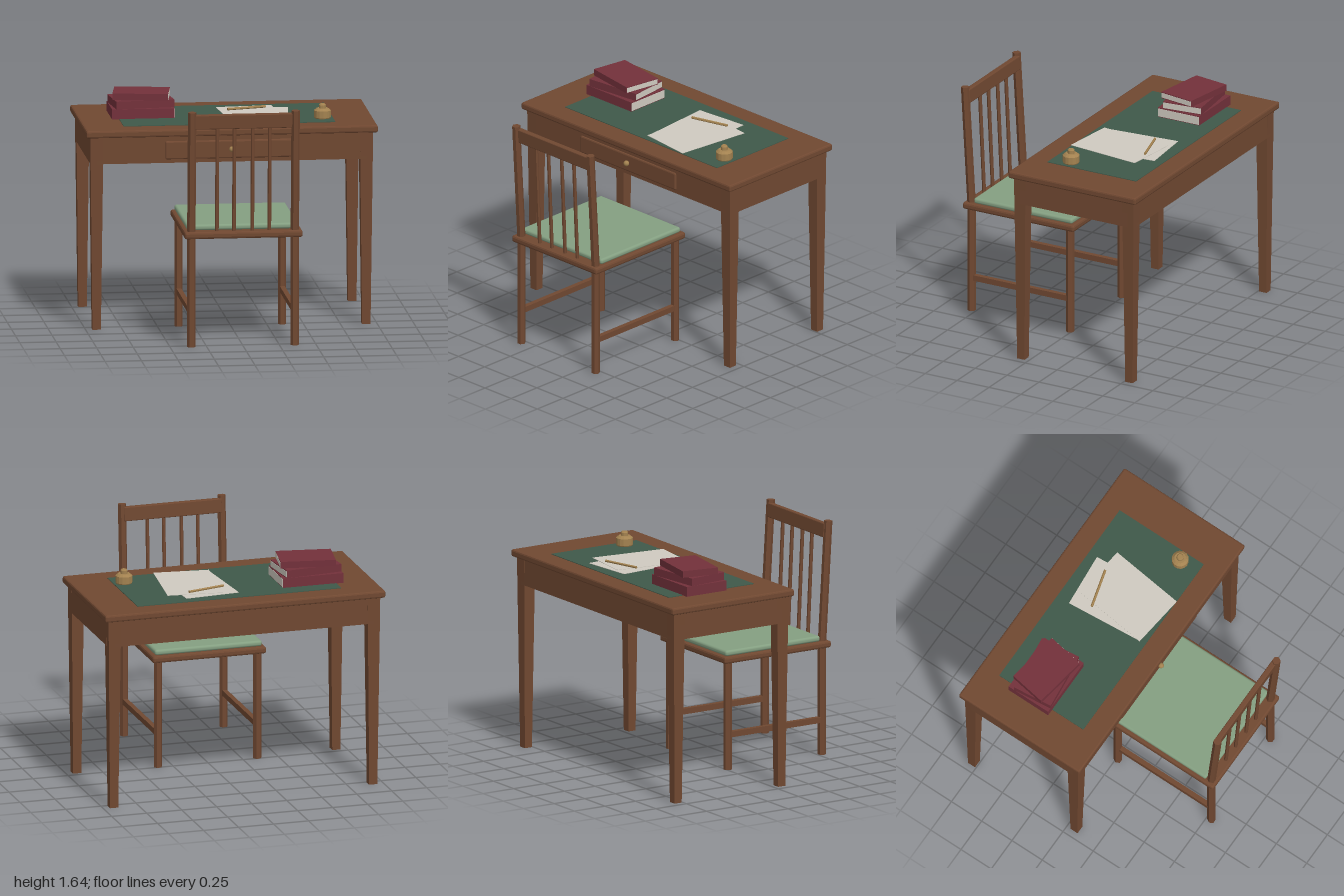
import * as THREE from 'three';
import { RoundedBoxGeometry } from 'three/addons/geometries/RoundedBoxGeometry.js';

const mat = (name, color) => {
  const m = new THREE.MeshStandardMaterial({ color });
  m.name = name;
  return m;
};

export function createModel() {
  const wood = mat('wood', 0x704831);
  const leather = mat('deskLeather', 0x3f5849);
  const fabric = mat('seatFabric', 0x849f81);
  const red = mat('bookCover', 0x73313b);
  const paper = mat('paper', 0xcfcac0);
  const brass = mat('brass', 0xa38250);

  const root = new THREE.Group();
  root.name = 'deskAndChair';
  const group = (name, parent = root) => {
    const g = new THREE.Group();
    g.name = name;
    parent.add(g);
    return g;
  };
  const add = (parent, name, geo, m, x = 0, y = 0, z = 0) => {
    const mesh = new THREE.Mesh(geo, m);
    mesh.name = name;
    mesh.position.set(x, y, z);
    parent.add(mesh);
    return mesh;
  };
  const flat = (geo) => {
    const g = geo.index ? geo.toNonIndexed() : geo;
    g.computeVertexNormals();
    return g;
  };
  // box given by its limits on each axis
  const box = (parent, name, m, x0, x1, y0, y1, z0, z1) =>
    add(parent, name, new THREE.BoxGeometry(x1 - x0, y1 - y0, z1 - z0), m,
      (x0 + x1) / 2, (y0 + y1) / 2, (z0 + z1) / 2);
  // box with chamfered edges
  const chamfer = (w, h, d, r) => flat(new RoundedBoxGeometry(w, h, d, 1, r));
  // faceted rod between two points
  const rod = (parent, name, m, a, b, r, sides = 6) => {
    const p = new THREE.Vector3(...a), q = new THREE.Vector3(...b);
    const geo = new THREE.CylinderGeometry(r, r, p.distanceTo(q), sides).rotateY(Math.PI / 6);
    const mesh = add(parent, name, flat(geo), m);
    mesh.position.copy(p).add(q).multiplyScalar(0.5);
    mesh.quaternion.setFromUnitVectors(new THREE.Vector3(0, 1, 0), q.sub(p).normalize());
    return mesh;
  };

  // ---- desk ----
  const desk = group('desk');
  const zc = -0.3635;
  add(desk, 'deskTop', chamfer(2, 0.05, 0.997, 0.012), wood, 0, 1.36, zc);
  const taper = flat(new THREE.CylinderGeometry(0.045 * Math.SQRT2, 0.029 * Math.SQRT2, 1.337, 4).rotateY(Math.PI / 4));
  for (const sx of [-1, 1]) {
    for (const sz of [-1, 1]) add(desk, 'deskLeg', taper, wood, sx * 0.925, 0.6685, zc + sz * 0.4235);
    const side = box(desk, 'sideApron', wood, -0.015, 0.015, 1.15, 1.337, -0.785, 0.058);
    side.position.x = sx * 0.954;
  }
  box(desk, 'frontApron', wood, -0.925, 0.925, 1.15, 1.337, 0.073, 0.103);
  box(desk, 'backApron', wood, -0.925, 0.925, 1.15, 1.337, -0.83, -0.8);

  // drawer
  const drawer = group('drawer', desk);
  add(drawer, 'drawerFront', chamfer(0.91, 0.126, 0.026, 0.01), wood, 0, 1.238, 0.101);
  box(drawer, 'drawerBox', wood, -0.43, 0.43, 1.185, 1.3, -0.7, 0.08);
  add(drawer, 'drawerKnob', new THREE.SphereGeometry(0.02, 12, 8), brass, 0, 1.24, 0.126);

  // ---- things on the desk ----
  box(desk, 'writingMat', leather, -0.728, 0.725, 1.384, 1.389, -0.713, -0.018);
  const sheets = [[0.187, 1.3915, -0.363, 0.083], [0.238, 1.394, -0.307, -0.12]];
  for (const [x, y, z, turn] of sheets)
    add(desk, 'paperSheet', new THREE.BoxGeometry(0.385, 0.003, 0.54), paper, x, y, z).rotation.y = turn;
  rod(desk, 'pen', brass, [0.037, 1.405, -0.472], [0.305, 1.405, -0.545], 0.009, 6);

  const books = group('books', desk);
  const stack = [
    // width, depth, bottom, top, x, z, turn
    [0.43, 0.325, 1.387, 1.456, -0.563, -0.4375, 0],
    [0.405, 0.285, 1.456, 1.509, -0.562, -0.4375, 0.105],
    [0.38, 0.262, 1.509, 1.555, -0.56, -0.4375, -0.165],
  ];
  for (const [w, d, y0, y1, x, z, turn] of stack) {
    const book = group('book', books);
    book.position.set(x, (y0 + y1) / 2, z);
    book.rotation.y = turn;
    const h = y1 - y0;
    add(book, 'cover', new THREE.BoxGeometry(w, h, d), red);
    add(book, 'pages', new THREE.BoxGeometry(0.004, h - 0.012, d - 0.006), paper, w / 2);
  }

  // inkwell
  const profile = [[0, 0], [0.054, 0], [0.058, 0.008], [0.058, 0.055], [0.04, 0.07],
    [0.024, 0.07], [0.024, 0.092], [0.018, 0.1], [0, 0.1]].map(([r, y]) => new THREE.Vector2(r, y));
  add(desk, 'inkwell', flat(new THREE.LatheGeometry(profile, 14)), brass, 0.652, 1.388, -0.163);

  // ---- chair ----
  const chair = group('chair');
  add(chair, 'seat', chamfer(0.81, 0.048, 0.872, 0.014), wood, 0, 0.777, 0.395);
  add(chair, 'cushion', new RoundedBoxGeometry(0.765, 0.04, 0.772, 3, 0.017), fabric, 0, 0.82, 0.37);
  for (const x of [-0.355, 0.355]) {
    rod(chair, 'frontLeg', wood, [x, 0, 0.013], [x, 0.77, 0.013], 0.029);
    rod(chair, 'rearLeg', wood, [x, 0, 0.785], [x, 0.77, 0.785], 0.029);
    rod(chair, 'backPost', wood, [x, 0.78, 0.785], [x, 1.635, 0.836], 0.029);
    box(chair, 'sideStretcher', wood, x - 0.017, x + 0.017, 0.225, 0.265, 0.013, 0.785);
  }
  for (const x of [-0.18, -0.063, 0.063, 0.18])
    rod(chair, 'spindle', wood, [x, 0.79, 0.785], [x, 1.53, 0.82], 0.013);
  add(chair, 'topRail', chamfer(0.7, 0.1, 0.038, 0.006), wood, 0, 1.566, 0.822).rotation.x = 0.06;

  return root;
}
